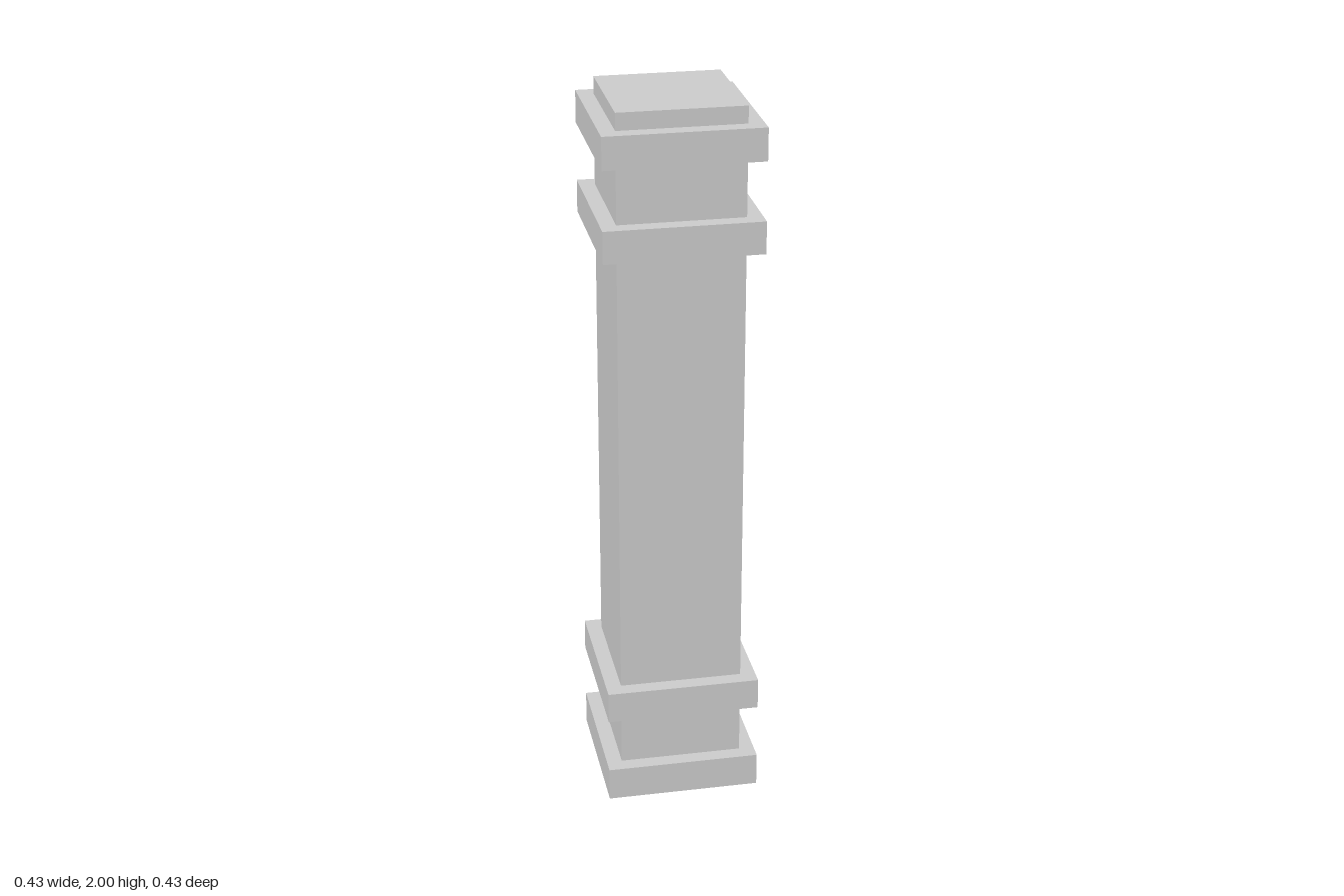
import * as THREE from 'three';

const SHAFT = 0.171; // half width of the shaft
const BAND = 0.2135; // half width of the bands

export function createModel() {
  const group = new THREE.Group();
  const material = new THREE.MeshStandardMaterial({
    color: 0xcccccc, flatShading: true, side: THREE.DoubleSide,
  });

  // Square shell: a four-sided lathe of [half width, y] points, listed bottom to top
  const addShell = (name, profile) => {
    const points = profile.map(([half, y]) => new THREE.Vector2(half * Math.SQRT2, y));
    const geometry = new THREE.LatheGeometry(points, 4).rotateY(Math.PI / 4);
    const mesh = new THREE.Mesh(geometry, material);
    mesh.name = name;
    group.add(mesh);
  };

  // Hollow plinth, open underneath
  addShell('base', [[BAND, 0], [BAND, 0.095], [SHAFT, 0.095]]);

  // Projecting bands, open to the hollow shaft
  const bands = [['lowerBand', 0.254, 0.343], ['upperBand', 1.615, 1.704], ['capBand', 1.864, 1.953]];
  for (const [name, y0, y1] of bands) {
    addShell(name, [[SHAFT, y0], [BAND, y0], [BAND, y1], [SHAFT, y1]]);
  }

  // Shaft sections between the bands
  const sections = [['lowerNeck', 0.095, 0.254], ['shaft', 0.343, 1.615], ['upperNeck', 1.704, 1.864]];
  for (const [name, y0, y1] of sections) {
    addShell(name, [[SHAFT, y0], [SHAFT, y1]]);
  }

  // Closed flat top
  addShell('cap', [[SHAFT, 1.953], [SHAFT, 2], [0, 2]]);

  return group;
}
